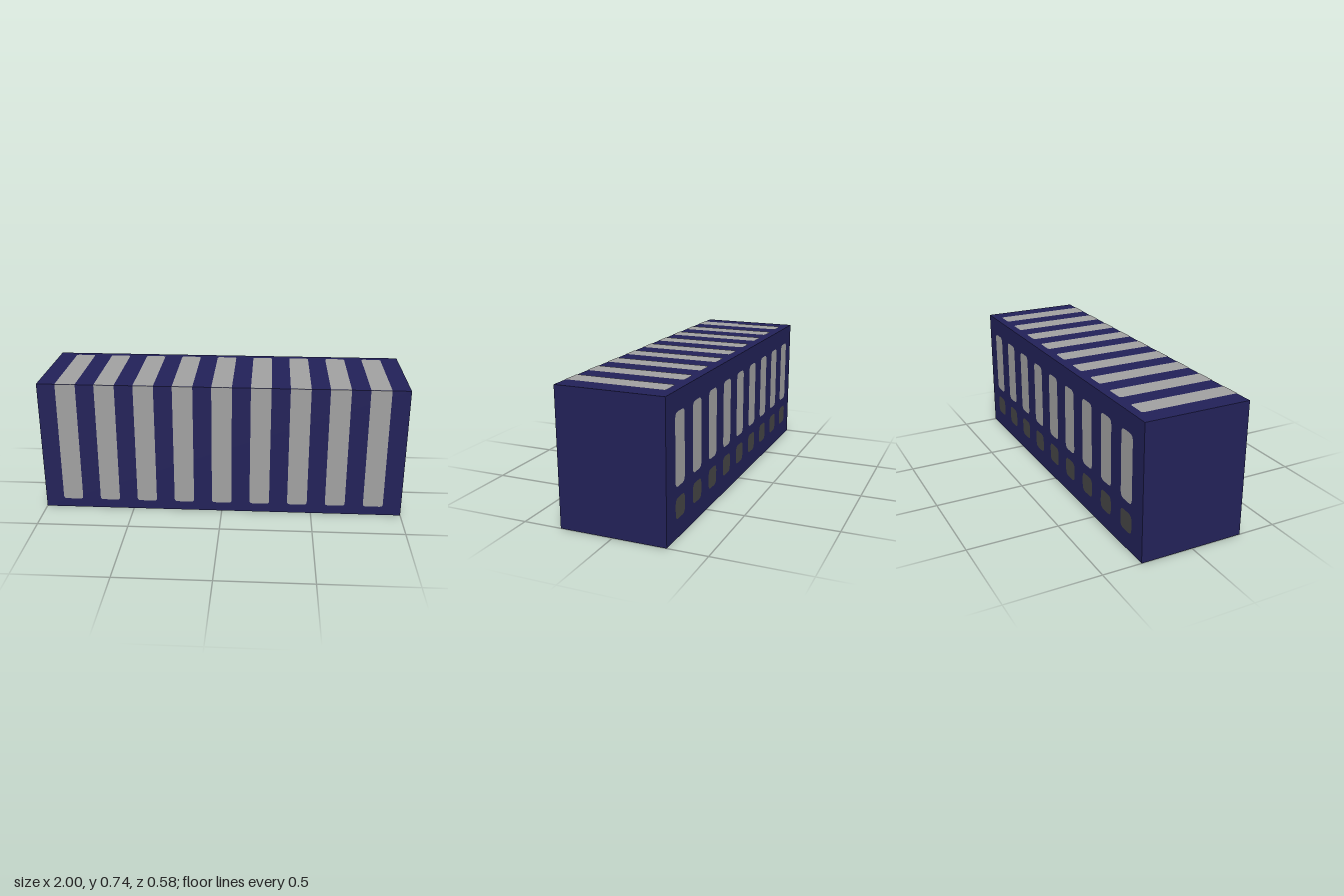
import * as THREE from 'three';

const W = 2, H = 0.737, D = 0.578, COUNT = 9, PITCH = 0.211, STRIPE = 0.11, LIFT = 0.002;

// Flat panel from y0 to y1, with separate corner radii at its lower and upper ends
function panelGeometry(y0, y1, rLow, rHigh) {
  const h = STRIPE / 2;
  const s = new THREE.Shape();
  s.moveTo(-h + rLow, y0);
  s.lineTo(h - rLow, y0);
  if (rLow) s.quadraticCurveTo(h, y0, h, y0 + rLow);
  s.lineTo(h, y1 - rHigh);
  if (rHigh) s.quadraticCurveTo(h, y1, h - rHigh, y1);
  s.lineTo(-h + rHigh, y1);
  if (rHigh) s.quadraticCurveTo(-h, y1, -h, y1 - rHigh);
  s.lineTo(-h, y0 + rLow);
  if (rLow) s.quadraticCurveTo(-h, y0, -h + rLow, y0);
  return new THREE.ShapeGeometry(s, 4);
}

export function createModel() {
  const navy = new THREE.MeshStandardMaterial({ name: 'navy', color: 0x222158 });
  const grey = new THREE.MeshStandardMaterial({ name: 'light grey', color: 0xa0a0a0 });
  const dark = new THREE.MeshStandardMaterial({ name: 'dark grey', color: 0x454545 });
  const model = new THREE.Group();
  model.name = 'stripedBlock';

  // Solid body
  const body = new THREE.Mesh(new THREE.BoxGeometry(W, H, D), navy);
  body.name = 'body';
  body.position.y = H / 2;
  model.add(body);

  // Stripes run down the front and across the top; the back has paired panels
  const front = panelGeometry(0.052, H, 0.016, 0);
  const top = panelGeometry(-D / 2, 0.245, 0, 0.016);
  const backTall = panelGeometry(0.265, 0.635, 0.03, 0.03);
  const backSmall = panelGeometry(0.1, 0.209, 0.03, 0.03);
  front.translate(0, 0, D / 2 + LIFT);
  top.rotateX(-Math.PI / 2).translate(0, H + LIFT, 0);
  for (const g of [backTall, backSmall]) g.rotateY(Math.PI).translate(0, 0, -D / 2 - LIFT);

  const parts = [
    ['frontStripe', front, grey],
    ['topStripe', top, grey],
    ['backTallPanel', backTall, grey],
    ['backSmallPanel', backSmall, dark],
  ];
  for (let i = 0; i < COUNT; i++) {
    for (const [name, geometry, material] of parts) {
      const mesh = new THREE.Mesh(geometry, material);
      mesh.name = name + (i + 1);
      mesh.position.x = (i - (COUNT - 1) / 2) * PITCH;
      model.add(mesh);
    }
  }
  return model;
}
